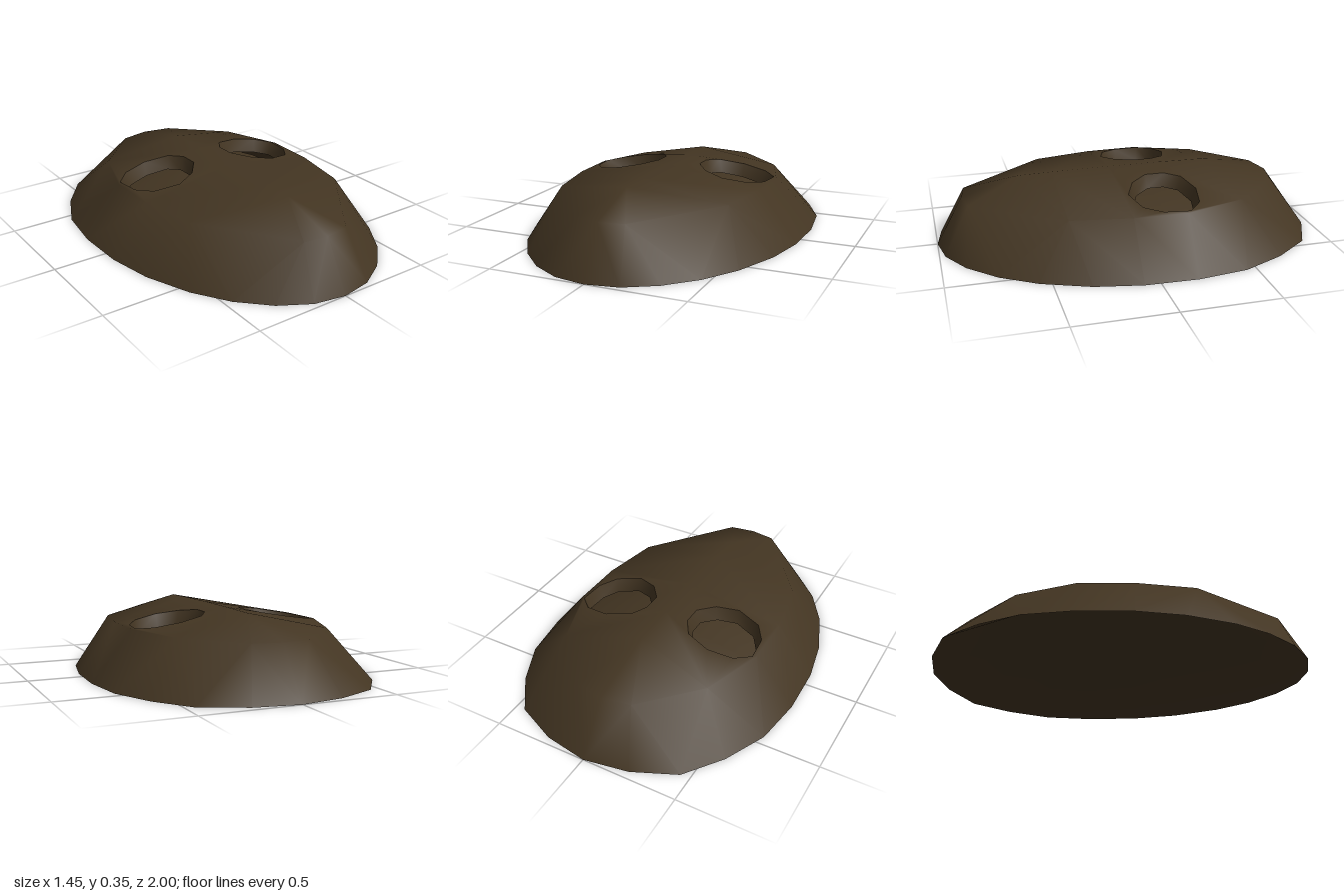
import * as THREE from 'three';
import { mergeVertices } from 'three/addons/utils/BufferGeometryUtils.js';

// half outline of the egg-shaped rim, from the brow end to the chin: [x, z]
const OUTLINE = [
  [0, -1], [0.23, -0.96], [0.45, -0.86], [0.59, -0.67], [0.69, -0.45], [0.725, -0.19], [0.717, 0.08],
  [0.67, 0.32], [0.575, 0.56], [0.46, 0.74], [0.32, 0.88], [0.165, 0.97], [0, 1],
];
// coarser shoulder edge of the face, and the shoulder point each rim point joins
const SHOULDER = [
  [0, 0.25, -0.82], [0.15, 0.25, -0.79], [0.41, 0.255, -0.52], [0.52, 0.26, -0.2],
  [0.515, 0.26, 0.08], [0.46, 0.258, 0.39], [0.13, 0.25, 0.84], [0, 0.25, 0.86],
];
const JOINS = [0, 1, 1, 2, 2, 3, 4, 5, 5, 5, 6, 6, 7];
// eye opening on the +x side: [x, z]
const EYE = [
  [0.12, -0.19], [0.17, -0.27], [0.3, -0.31], [0.43, -0.285], [0.502, -0.215],
  [0.49, -0.08], [0.43, 0.01], [0.3, 0.05], [0.19, 0], [0.12, -0.09],
];
const EYE_CENTER = [0.31, -0.13];
const PANEL = [4, 5]; // segments whose upper panel holds the eye

const roofY = (x, z) => 0.347 - 0.02 * z * z - 0.165 * x;

// triangles between two rows of points, leaving out some segments and empty triangles
function strip(lower, upper, skip = []) {
  const tris = [];
  for (let i = 0; i < lower.length - 1; i++) {
    if (skip.includes(i)) continue;
    tris.push([lower[i], upper[i], upper[i + 1]]);
    tris.push([lower[i], upper[i + 1], lower[i + 1]]);
  }
  return tris.filter((t) => {
    const [p, q, r] = t.map((v) => new THREE.Vector3(...v));
    return q.sub(p).cross(r.sub(p)).length() > 1e-7;
  });
}

// smooth geometry from triangles of the +x half, mirrored to the other half
function smoothGeometry(tris, flip = false) {
  const pos = [];
  const add = (a, b, c) => pos.push(...a, ...(flip ? c : b), ...(flip ? b : c));
  const mirror = ([x, y, z]) => [-x, y, z];
  for (const [a, b, c] of tris) {
    add(a, b, c);
    add(mirror(a), mirror(c), mirror(b));
  }
  let g = new THREE.BufferGeometry();
  g.setAttribute('position', new THREE.Float32BufferAttribute(pos, 3));
  g = mergeVertices(g, 1e-4);
  g.computeVertexNormals();
  return g;
}

// upper panel with the eye cut out of it
function eyePanel(shoulder, ridge, eye) {
  const contour = [ridge[4], shoulder[4], shoulder[5], shoulder[6], ridge[6], ridge[5]];
  const flat = (pts) => pts.map(([x, , z]) => new THREE.Vector2(x, z));
  const all = [...contour, ...eye];
  return THREE.ShapeUtils.triangulateShape(flat(contour), [flat(eye)]).map((f) => {
    const [a, b, c] = f.map((i) => all[i]);
    const up = (b[2] - a[2]) * (c[0] - a[0]) - (b[0] - a[0]) * (c[2] - a[2]);
    return up > 0 ? [a, b, c] : [a, c, b];
  });
}

export function createModel() {
  const group = new THREE.Group();
  const brown = new THREE.MeshStandardMaterial({ color: 0x433522, side: THREE.DoubleSide });
  brown.name = 'dark brown';
  const add = (name, geometry) => {
    const mesh = new THREE.Mesh(geometry, brown);
    mesh.name = name;
    group.add(mesh);
  };

  const rim = OUTLINE.map(([x, z]) => [x, 0, z]);

  // outer face of the mask
  const shoulder = JOINS.map((i) => SHOULDER[i]);
  const ridge = shoulder.map(([, , z]) => {
    const rz = THREE.MathUtils.clamp(z, -0.44, 0.56);
    return [0, roofY(0, rz), rz];
  });
  const eyeTop = EYE.map(([x, z]) => [x, roofY(x, z), z]);
  add('maskFace', smoothGeometry([
    ...strip(rim, shoulder),
    ...strip(shoulder, ridge, PANEL),
    ...eyePanel(shoulder, ridge, eyeTop),
  ]));

  // tapered walls of both eye openings
  const eyeBottom = EYE.map(([x, z]) => [
    EYE_CENTER[0] + (x - EYE_CENTER[0]) * 0.86,
    roofY(x, z) - 0.07,
    EYE_CENTER[1] + (z - EYE_CENTER[1]) * 0.86,
  ]);
  const close = (ring) => [...ring, ring[0]];
  add('eyeWalls', smoothGeometry(strip(close(eyeBottom), close(eyeTop)), true));

  // hollow domed lining, seen through the eyes and from below
  const bend = OUTLINE.map(([x, z]) => [x * 0.66, 0.155, z * 0.74]);
  const crown = bend.map(([, , z]) => [0, 0.25, THREE.MathUtils.clamp(z, -0.3, 0.2)]);
  add('innerLining', smoothGeometry([...strip(rim, bend), ...strip(bend, crown)], true));

  return group;
}
